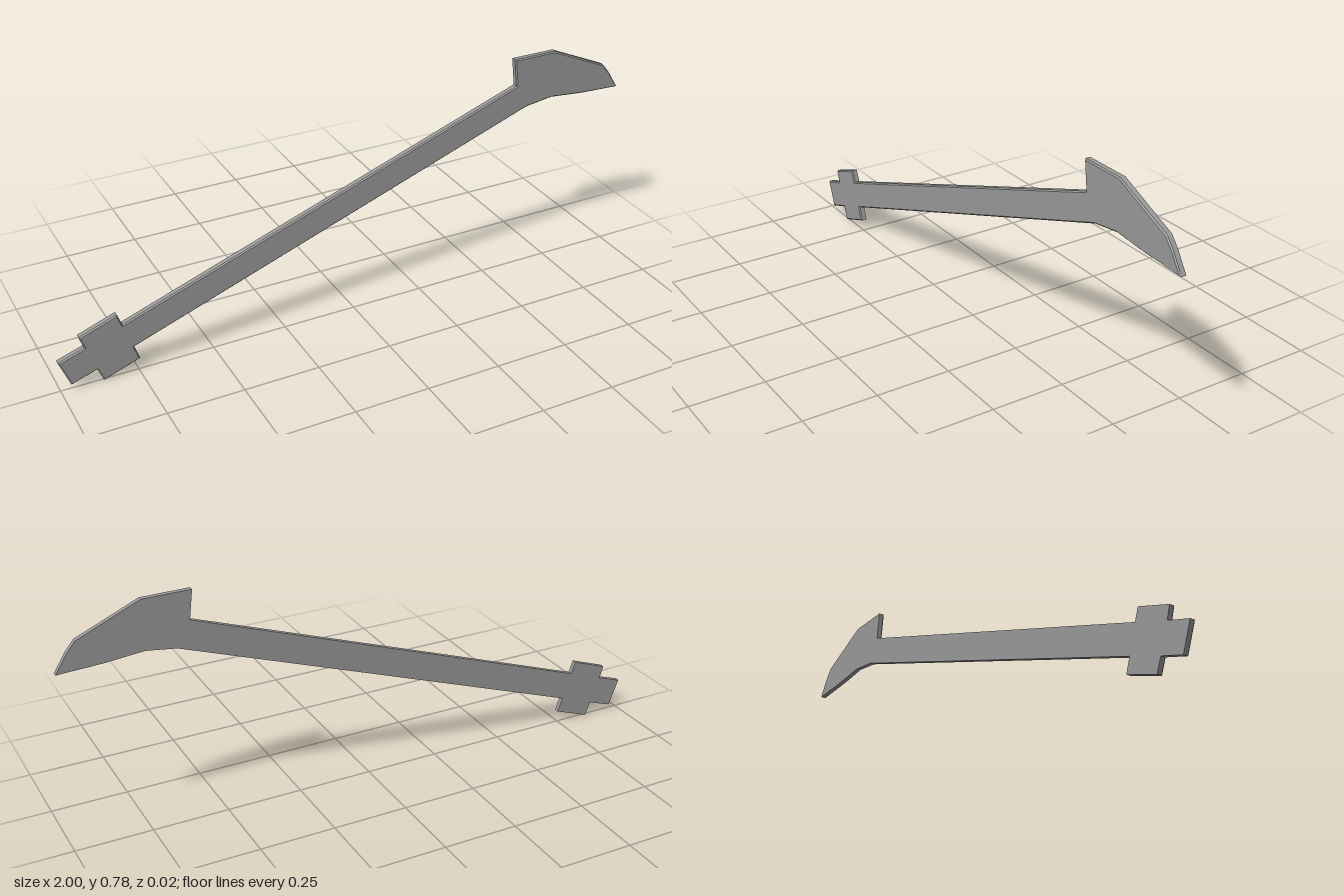
import * as THREE from 'three';
import { toCreasedNormals } from 'three/addons/utils/BufferGeometryUtils.js';

const BEVEL = 0.004;
const HALF = 0.01; // half of the slab thickness

export function createModel() {
  const group = new THREE.Group();
  group.name = 'flatPickTool';

  // Outline, counter-clockwise from the butt of the handle
  const outline = [
    [-0.966, 0.017], [-0.882, 0.046], [-0.864, 0],                      // butt, lower side
    [-0.744, 0.044], [-0.76, 0.092],                                    // crosspiece, lower side
    [0.636, 0.601], [0.733, 0.615], [0.855, 0.604], [1.0, 0.598],       // shaft and hooked blade, lower side
    [0.962, 0.658], [0.935, 0.691], [0.735, 0.778], [0.58, 0.778],      // blade, upper side
    [0.592, 0.683],                                                     // blade heel
    [-0.79, 0.182], [-0.805, 0.223], [-0.928, 0.178], [-0.915, 0.136],  // shaft and crosspiece, upper side
    [-1.0, 0.107],
  ].map(([x, y]) => new THREE.Vector2(x, y));

  const geometry = new THREE.ExtrudeGeometry(new THREE.Shape(outline), {
    depth: 2 * HALF - BEVEL,
    bevelEnabled: true,
    bevelThickness: BEVEL,
    bevelSize: BEVEL,
    bevelOffset: -BEVEL,
    bevelSegments: 1,
  });

  // Flatten the rear bevel so only the front edge is chamfered
  const pos = geometry.attributes.position;
  for (let i = 0; i < pos.count; i++) pos.setZ(i, Math.max(pos.getZ(i), 0) - HALF);

  // Smooth the gentle bends of the blade, keep corners and chamfer sharp
  const body = new THREE.Mesh(
    toCreasedNormals(geometry, Math.PI / 6),
    new THREE.MeshStandardMaterial({ color: 0x999999 }),
  );
  body.name = 'handleAndBlade';
  group.add(body);
  return group;
}
